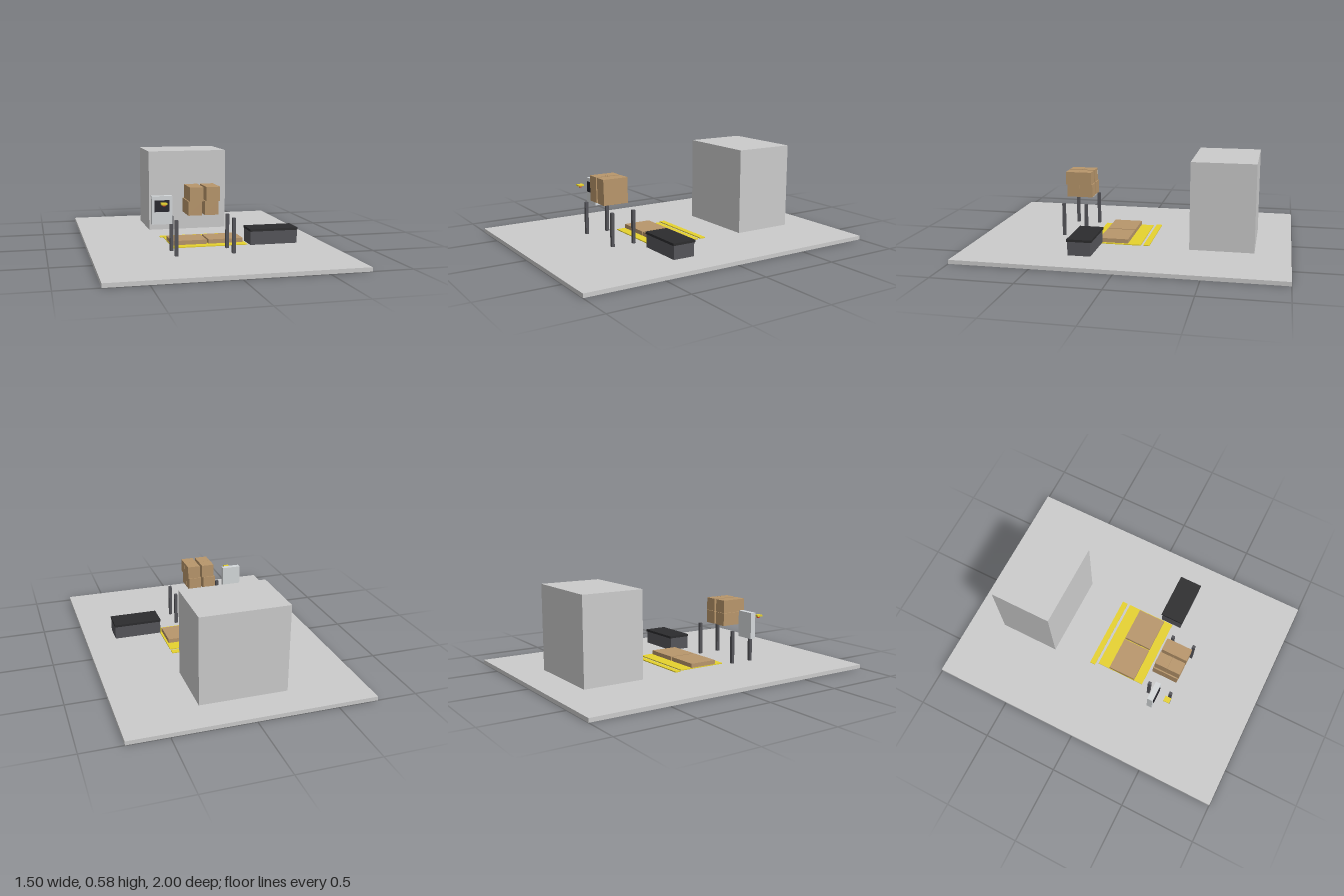
import * as THREE from 'three';

const material = (color) => new THREE.MeshStandardMaterial({ color });
const GREY = material(0xcccccc);
const STEEL = material(0x55555a);
const DARK = material(0x2c2c2e);
const SLATE = material(0x25252c);
const PALE = material(0xd4d8da);
const CARD = material(0xb8966b);
const YELLOW = material(0xe6d22e);
const RED = material(0xcc3322);

// Box given by its [min, max] range on each axis
function block(name, [x0, x1], [y0, y1], [z0, z1], mat) {
  const mesh = new THREE.Mesh(new THREE.BoxGeometry(x1 - x0, y1 - y0, z1 - z0), mat);
  mesh.position.set((x0 + x1) / 2, (y0 + y1) / 2, (z0 + z1) / 2);
  mesh.name = name;
  return mesh;
}

function groupOf(name, ...parts) {
  const group = new THREE.Group();
  group.name = name;
  group.add(...parts);
  return group;
}

// Two layers of four cartons, the upper layer slightly shifted
function cartonStack() {
  const stack = groupOf('cartonStack');
  const size = 0.083;
  for (let layer = 0; layer < 2; layer++) {
    for (let col = 0; col < 2; col++) {
      for (let row = 0; row < 2; row++) {
        const x = -0.182 + layer * 0.008 + col * 0.1;
        const y = 0.264 + layer * 0.084;
        const z = 0.308 + layer * 0.006 + row * 0.086;
        stack.add(block('carton', [x, x + size], [y, y + 0.084], [z, z + size + 0.002], CARD));
      }
    }
  }
  return stack;
}

// Four upright square posts
function posts() {
  const group = groupOf('posts');
  for (const x of [-0.254, 0.098]) {
    for (const z of [0.325, 0.475]) {
      group.add(block('post', [x - 0.01, x + 0.01], [0.025, 0.24], [z - 0.01, z + 0.01], STEEL));
    }
  }
  return group;
}

export function createModel() {
  const model = groupOf('workstation');

  // Floor slab and large rear cabinet
  model.add(
    block('floor', [-0.75, 0.75], [0, 0.025], [-1, 1], GREY),
    block('cabinet', [-0.275, 0.273], [0.025, 0.577], [-0.778, -0.378], GREY),
  );

  // Yellow floor markings with two flat boards on top
  model.add(groupOf('loadingZone',
    block('zoneMarking', [-0.23, 0.248], [0.025, 0.031], [-0.067, 0.262], YELLOW),
    block('safetyStripe', [-0.25, 0.248], [0.025, 0.031], [-0.122, -0.085], YELLOW),
    block('leftBoard', [0.01, 0.235], [0.031, 0.058], [0.017, 0.202], CARD),
    block('rightBoard', [-0.228, -0.002], [0.031, 0.058], [0.017, 0.202], CARD),
  ));

  // Short conveyor with a darker belt
  model.add(groupOf('conveyor',
    block('conveyorBody', [0.25, 0.558], [0.035, 0.12], [0.179, 0.321], STEEL),
    block('conveyorBelt', [0.248, 0.56], [0.12, 0.135], [0.173, 0.326], DARK),
  ));

  model.add(posts(), cartonStack());

  // Control panel with screen, and the tag hovering before it
  model.add(groupOf('controlPanel',
    block('panelHousing', [-0.387, -0.263], [0.205, 0.375], [0.368, 0.403], PALE),
    block('screen', [-0.371, -0.281], [0.281, 0.35], [0.403, 0.409], SLATE),
    block('yellowTag', [-0.346, -0.31], [0.335, 0.345], [0.46, 0.5], YELLOW),
    block('redButton', [-0.335, -0.321], [0.326, 0.335], [0.472, 0.487], RED),
  ));

  return model;
}
